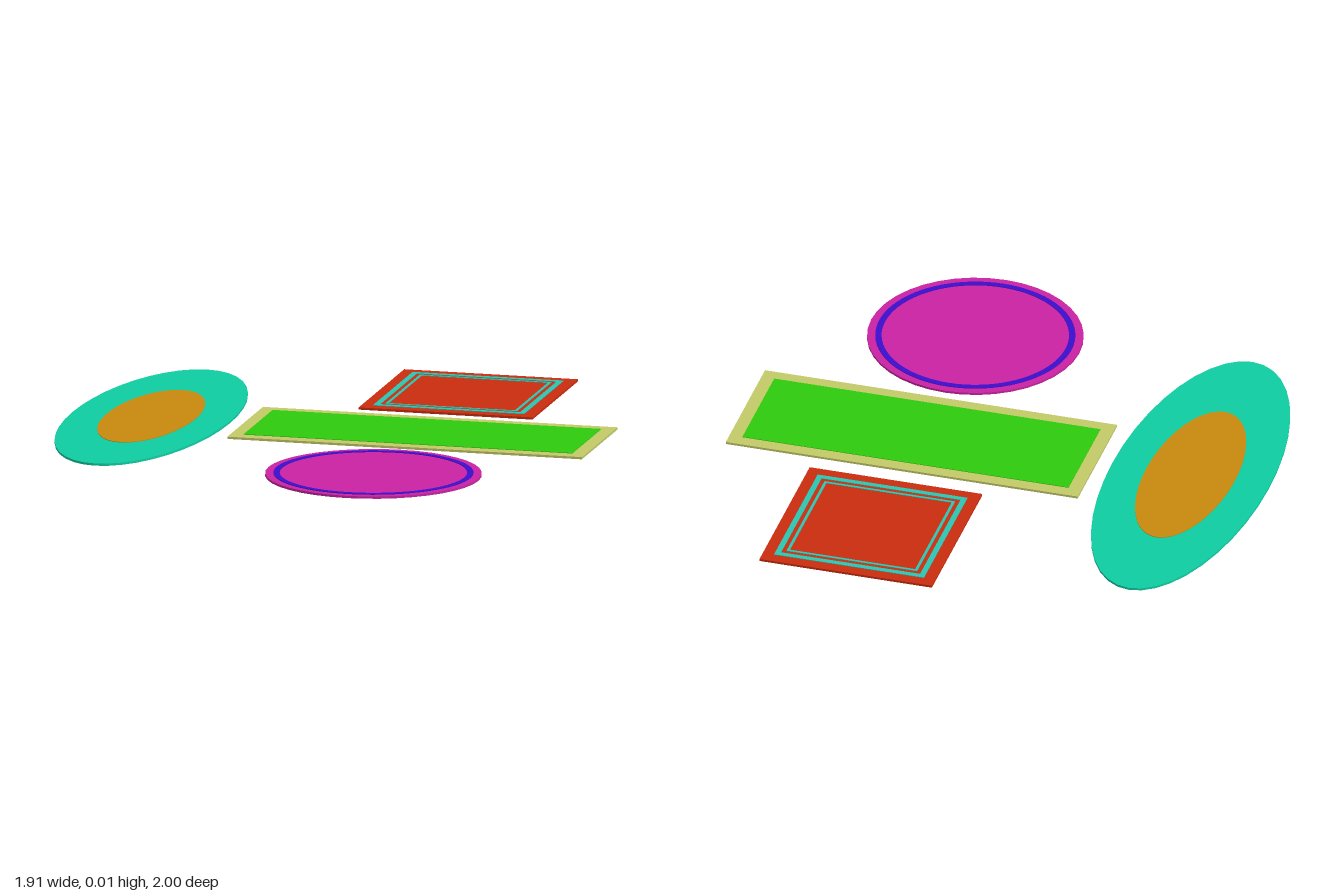
import * as THREE from 'three';

const BASE = 0.008;   // rug thickness
const INLAY = 0.002;  // raised pattern thickness

const material = (color) => new THREE.MeshStandardMaterial({ color });

function add(group, name, geometry, color, y) {
  const mesh = new THREE.Mesh(geometry, material(color));
  mesh.name = name;
  mesh.position.y = y;
  group.add(mesh);
}

// Flat slabs standing on y = 0
const slab = (w, d, h) => new THREE.BoxGeometry(w, h, d).translate(0, h / 2, 0);
const disc = (rx, rz, h) =>
  new THREE.CylinderGeometry(1, 1, h, 40).scale(rx, 1, rz).translate(0, h / 2, 0);

// Flat bands: an outline with a hole, extruded upward
function band(outer, inner) {
  outer.holes.push(inner);
  return new THREE.ExtrudeGeometry(outer, { depth: INLAY, bevelEnabled: false, curveSegments: 40 })
    .rotateX(-Math.PI / 2);
}
function square(half) {
  return new THREE.Shape([[-1, -1], [1, -1], [1, 1], [-1, 1]]
    .map(([x, y]) => new THREE.Vector2(x * half, y * half)));
}
const circle = (r) => new THREE.Shape().absarc(0, 0, r, 0, Math.PI * 2);

function rug(name, x, z) {
  const group = new THREE.Group();
  group.name = name;
  group.position.set(x, 0, z);
  return group;
}

export function createModel() {
  const model = new THREE.Group();
  model.name = 'rugs';

  // Oval rug with an oval centre
  const oval = rug('ovalRug', -0.669, -0.048);
  add(oval, 'ovalBase', disc(0.285, 0.773, BASE), 0x0fcca1, 0);
  add(oval, 'ovalCentre', disc(0.16, 0.428, INLAY), 0xc8890e, BASE);

  // Square rug with two thin frames
  const squareRug = rug('squareRug', 0.31, -0.686);
  add(squareRug, 'squareBase', slab(0.628, 0.628, BASE), 0xc92c0d, 0);
  add(squareRug, 'outerFrame', band(square(0.273), square(0.253)), 0x2cc4b2, BASE);
  add(squareRug, 'innerFrame', band(square(0.238), square(0.228)), 0x2cc4b2, BASE);

  // Long rug with a plain field inside its border
  const long = rug('longRug', 0.311, -0.05);
  add(long, 'longBase', slab(1.282, 0.491, BASE), 0xc3c967, 0);
  add(long, 'longField', slab(1.188, 0.398, INLAY), 0x2dca0e, BASE);

  // Round rug with one ring
  const round = rug('roundRug', 0.31, 0.621);
  add(round, 'roundBase', disc(0.379, 0.379, BASE), 0xc922a2, 0);
  add(round, 'roundRing', band(circle(0.35), circle(0.328)), 0x3a0dcb, BASE);

  model.add(oval, squareRug, long, round);
  return model;
}
